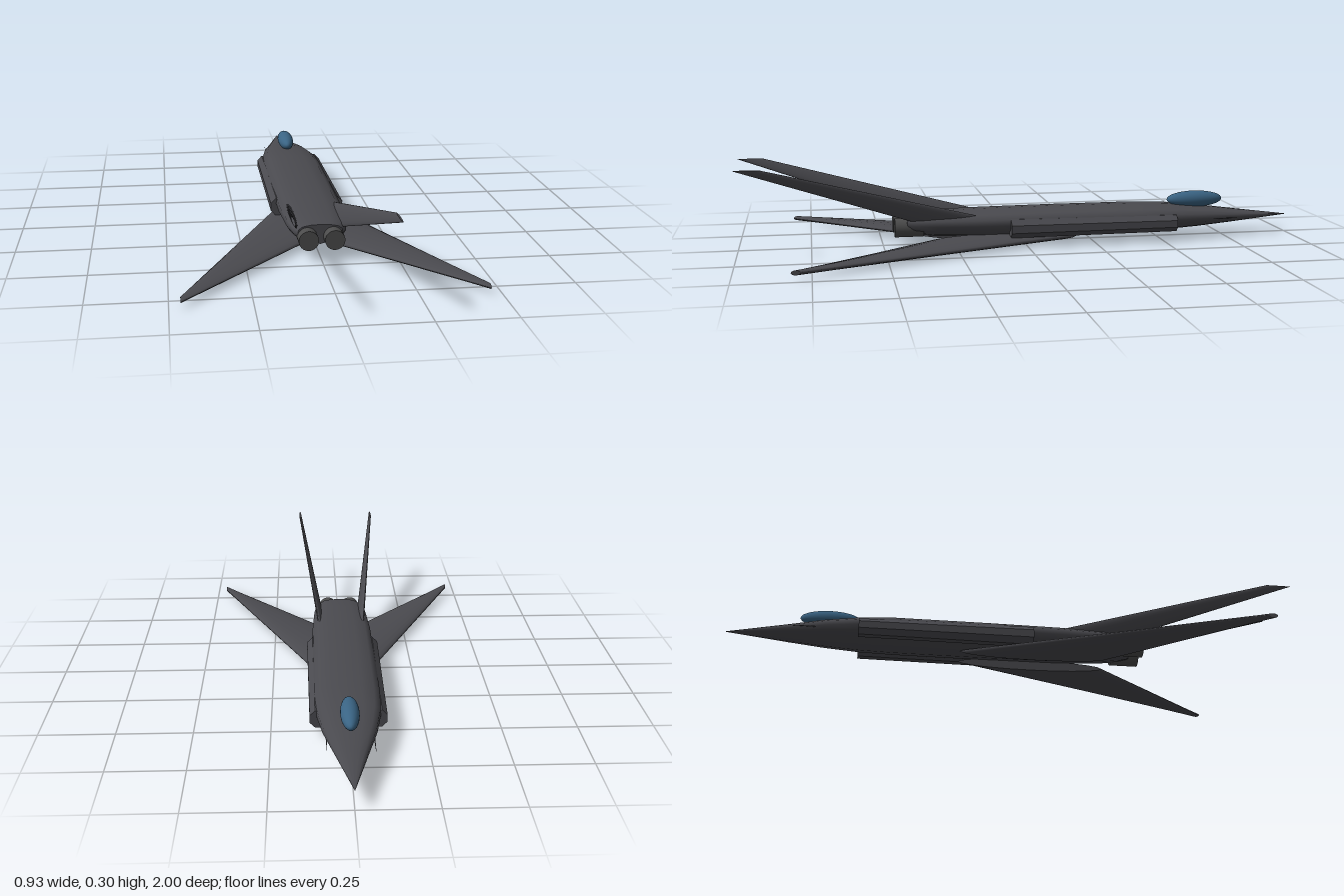
import * as THREE from 'three';

const hull = new THREE.MeshStandardMaterial({ color: 0x4a4a4f });
hull.name = 'hull grey';
const glass = new THREE.MeshStandardMaterial({ color: 0x3a6484 });
glass.name = 'canopy blue';
const metal = new THREE.MeshStandardMaterial({ color: 0x4c4c4c });
metal.name = 'nozzle grey';

// Skin a list of closed rings of Vector3, with flat caps at both ends
function loft(rings) {
  const n = rings[0].length;
  const pos = [];
  let idx = [];
  const add = (p) => pos.push(p.x, p.y, p.z) / 3 - 1;
  rings.forEach((r) => r.forEach(add));
  for (let i = 0; i < rings.length - 1; i++) {
    for (let j = 0; j < n; j++) {
      const a = i * n + j, b = i * n + (j + 1) % n;
      idx.push(a, b, a + n, b, b + n, a + n);
    }
  }
  [rings[0], rings[rings.length - 1]].forEach((ring, end) => {
    const centre = new THREE.Vector3();
    ring.forEach((p) => centre.addScaledVector(p, 1 / n));
    const c = add(centre);
    const ids = ring.map(add);
    ids.forEach((id, j) => {
      const next = ids[(j + 1) % n];
      idx.push(c, ...(end ? [id, next] : [next, id]));
    });
  });
  // Turn the faces outward if the rings ran the other way round
  const v = (i) => new THREE.Vector3().fromArray(pos, i * 3);
  let volume = 0;
  for (let i = 0; i < idx.length; i += 3) volume += v(idx[i]).dot(v(idx[i + 1]).cross(v(idx[i + 2])));
  if (volume < 0) idx = idx.reverse();
  const g = new THREE.BufferGeometry();
  g.setAttribute('position', new THREE.Float32BufferAttribute(pos, 3));
  g.setIndex(idx);
  g.computeVertexNormals();
  return g;
}

// Elliptical aerofoil ring: chord along z, thickness along the given direction
function foil(x, y, z0, z1, thick, dir) {
  return Array.from({ length: 20 }, (_, i) => {
    const a = (i / 20) * Math.PI * 2;
    const t = (Math.sin(a) * thick) / 2;
    return new THREE.Vector3(x + dir[0] * t, y + dir[1] * t, (z0 + z1) / 2 + (Math.cos(a) * (z1 - z0)) / 2);
  });
}

export function createModel() {
  const model = new THREE.Group();
  const put = (name, geometry, material, x = 0, y = 0, z = 0) => {
    const mesh = new THREE.Mesh(geometry, material);
    mesh.name = name;
    mesh.position.set(x, y, z);
    model.add(mesh);
    return mesh;
  };

  // Fuselage: keeled section swept from nose to tail
  const half = [[0, 1], [0.45, 0.95], [0.8, 0.8], [0.98, 0.5], [1, 0.1], [0.9, -0.25], [0.5, -0.7], [0, -1]];
  const section = [...half, ...half.slice(1, -1).reverse().map(([x, y]) => [-x, y])];
  const stations = [
    // z, half width, bottom, top
    [-1, 0.001, 0.064, 0.066],
    [-0.8, 0.05, 0.043, 0.09],
    [-0.66, 0.085, 0.03, 0.108],
    [-0.54, 0.104, 0.022, 0.119],
    [-0.42, 0.11, 0.019, 0.124],
    [-0.1, 0.11, 0.018, 0.124],
    [0.15, 0.109, 0.02, 0.122],
    [0.32, 0.1, 0.028, 0.119],
    [0.39, 0.09, 0.037, 0.116],
    [0.42, 0.074, 0.045, 0.112],
  ];
  put('fuselage', loft(stations.map(([z, w, lo, hi]) => section.map(([x, y]) =>
    new THREE.Vector3(x * w, (lo + hi) / 2 + (y * (hi - lo)) / 2, z)))), hull);

  // Canopy
  put('canopy', new THREE.SphereGeometry(1, 32, 20), glass, 0, 0.133, -0.645).scale.set(0.03, 0.03, 0.105);

  for (const s of [1, -1]) {
    const side = s > 0 ? 'left' : 'right';

    // Swept wing and canted tail fin
    put(side + 'Wing', loft([
      foil(s * 0.045, 0.019, -0.19, 0.33, 0.038, [0, 1]),
      foil(s * 0.465, 0.022, 0.785, 0.815, 0.016, [0, 1]),
    ]), hull);
    put(side + 'TailFin', loft([
      foil(s * 0.076, 0.095, 0.11, 0.4, 0.02, [0.94 * s, -0.34]),
      foil(s * 0.15, 0.3, 0.91, 1, 0.008, [0.94 * s, -0.34]),
    ]), hull);

    // Eight-sided intake duct along the flank
    const duct = new THREE.CylinderGeometry(0.036, 0.032, 0.605, 8).toNonIndexed();
    duct.rotateY(Math.PI / 8).rotateX(Math.PI / 2);
    duct.computeVertexNormals();
    put(side + 'Intake', duct, hull, s * 0.095, 0.065, -0.243);

    // Engine nozzle
    const nozzle = new THREE.CylinderGeometry(0.033, 0.033, 0.1, 32);
    nozzle.rotateX(Math.PI / 2);
    put(side + 'Nozzle', nozzle, metal, s * 0.043, 0.07, 0.412);

    // Slim probe beside the nose
    const probe = new THREE.ConeGeometry(0.004, 0.19, 8);
    probe.rotateX(-Math.PI / 2);
    put(side + 'Probe', probe, hull, s * 0.074, 0.07, -0.705);
  }
  return model;
}
